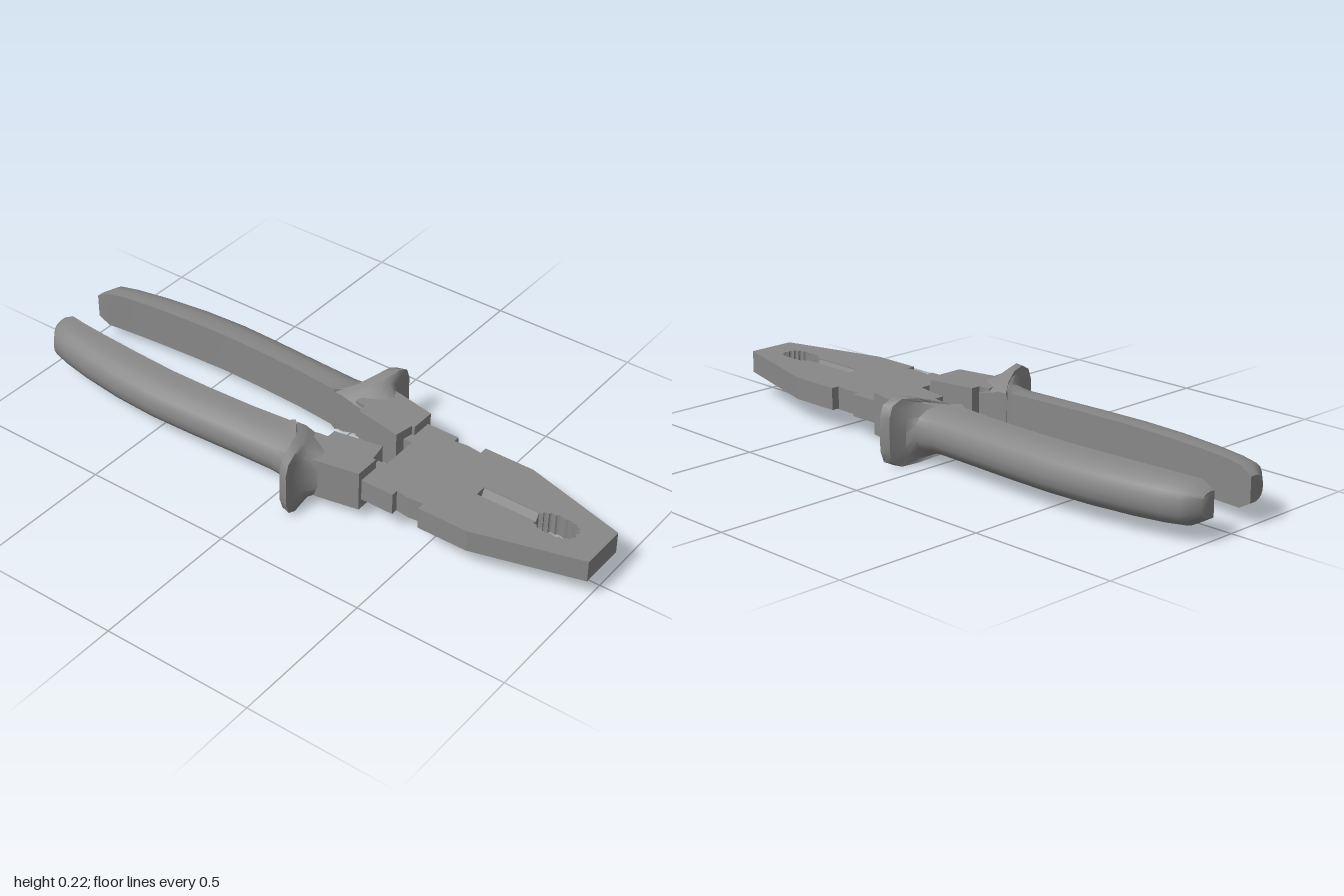
import * as THREE from 'three';
import { toCreasedNormals } from 'three/addons/utils/BufferGeometryUtils.js';

const material = new THREE.MeshStandardMaterial({ color: 0x888888 });
const MID = 0.11; // height of the centre plane

function add(group, name, geometry) {
  const mesh = new THREE.Mesh(geometry, material);
  mesh.name = name;
  group.add(mesh);
}

// Extrude a plan outline of [x, z] points between two heights
function slab(points, y0, y1, hole) {
  const toV = (p) => new THREE.Vector2(p[0], p[1]);
  const shape = new THREE.Shape(points.map(toV));
  if (hole) shape.holes.push(new THREE.Path(hole.map(toV)));
  const geo = new THREE.ExtrudeGeometry(shape, { depth: y1 - y0, bevelEnabled: false });
  return geo.rotateX(Math.PI / 2).translate(0, y1, 0);
}

// Half cross-sections [across, height]: flat inner side to rounded outer side
const GRIP = [[0, 1], [0.25, 1], [0.48, 0.97], [0.7, 0.86], [0.88, 0.63], [0.97, 0.34], [1, 0]];
const GUARD = [[0, 0.64], [0.27, 0.8], [0.54, 0.96], [0.78, 1], [0.94, 0.84], [1, 0.5], [1, 0]];

// x, inner z, outer z, half height, backward lean of inner side, section
const SECTIONS = [
  [-1.0, 0.08, 0.135, 0.04, 0, GRIP],
  [-0.96, 0.083, 0.182, 0.063, 0, GRIP],
  [-0.9, 0.095, 0.198, 0.067, 0, GRIP],
  [-0.8, 0.106, 0.218, 0.069, 0, GRIP],
  [-0.65, 0.117, 0.238, 0.07, 0, GRIP],
  [-0.5, 0.124, 0.246, 0.07, 0, GRIP],
  [-0.35, 0.122, 0.242, 0.07, 0, GRIP],
  [-0.18, 0.115, 0.234, 0.07, 0, GRIP],
  [-0.03, 0.103, 0.23, 0.07, 0.02, GRIP],
  [0.03, 0.098, 0.234, 0.078, 0.06, GRIP],
  [0.055, 0.096, 0.25, 0.09, 0.085, GUARD],
  [0.068, 0.095, 0.305, 0.107, 0.095, GUARD],
  [0.1, 0.093, 0.315, 0.108, 0.095, GUARD],
  [0.1, 0.093, 0.285, 0.1, 0.08, GUARD],
  [0.103, 0.093, 0.245, 0.086, 0.05, GUARD],
  [0.135, 0.093, 0.213, 0.069, 0.02, GUARD],
  [0.16, 0.093, 0.2, 0.06, 0, GUARD],
];

// Loft the handle sections; side is +1 or -1 along z
function handle(side) {
  const pos = [], index = [];
  const n = GRIP.length * 2 - 1;
  const tri = (a, b, c) => (side > 0 ? index.push(a, b, c) : index.push(a, c, b));
  for (const [x, z0, z1, h, lean, half] of SECTIONS) {
    const ring = [...half, ...half.slice(0, -1).reverse().map(([t, y]) => [t, -y])];
    for (const [t, y] of ring) {
      pos.push(x - lean * (1 - t) ** 2, MID + y * h, side * (z0 + (z1 - z0) * t));
    }
  }
  const last = (SECTIONS.length - 1) * n;
  for (let i = 0; i < last; i += n) {
    for (let j = 0; j < n; j++) {
      const k = (j + 1) % n;
      tri(i + j, i + k, i + n + k);
      tri(i + j, i + n + k, i + n + j);
    }
  }
  for (let j = 1; j < n - 1; j++) {
    tri(0, j + 1, j);
    tri(last, last + j, last + j + 1);
  }
  const geo = new THREE.BufferGeometry();
  geo.setAttribute('position', new THREE.Float32BufferAttribute(pos, 3));
  geo.setIndex(index);
  return toCreasedNormals(geo, 0.75);
}

// Squared sleeve between the guard and the head
const COLLAR = [
  [0.05, 0.1], [0.09, 0.095], [0.09, 0.063], [0.25, 0.035], [0.262, 0.1],
  [0.272, 0.1], [0.272, 0.185], [0.13, 0.213], [0.08, 0.215],
];

// One side of the head, from the pivot end to the nose
const HEAD = [
  [0.286, 0.066], [0.25, 0.066], [0.25, 0.172], [0.385, 0.172], [0.385, 0.15],
  [0.43, 0.156], [0.48, 0.15], [0.48, 0.177], [0.65, 0.177], [1, 0.08],
];

// Cutter slot running into a scalloped oval opening
function jawOpening() {
  const points = [[0.77, 0.02], [0.58, 0.02], [0.58, -0.02], [0.77, -0.02]];
  const steps = 56;
  const soften = (v) => Math.sign(v) * Math.abs(v) ** 0.8;
  for (let i = 0; i <= steps; i++) {
    const a = -2.68 + (5.36 * i) / steps;
    const r = 0.87 + 0.13 * Math.abs(Math.sin((i * Math.PI) / 4));
    points.push([0.843 + 0.073 * r * soften(Math.cos(a)), 0.045 * r * soften(Math.sin(a))]);
  }
  return points;
}

export function createModel() {
  const group = new THREE.Group();
  group.name = 'pliers';

  const y0 = 0.073, y1 = 0.146;
  const mirrored = HEAD.map(([x, z]) => [x, -z]).reverse();
  add(group, 'head', slab([...HEAD, ...mirrored], y0, y1, jawOpening()));

  // Cutting edges: bevelled wedges meeting in the middle of the slot
  for (const side of [1, -1]) {
    const wedge = new THREE.Shape([
      new THREE.Vector2(side * 0.021, y0 + 0.001),
      new THREE.Vector2(side * 0.021, y1 - 0.001),
      new THREE.Vector2(0, MID),
    ]);
    const geo = new THREE.ExtrudeGeometry(wedge, { depth: 0.19, bevelEnabled: false });
    geo.rotateY(Math.PI / 2).translate(0.58, 0, 0);
    add(group, side > 0 ? 'backCutter' : 'frontCutter', geo);
  }

  for (const side of [1, -1]) {
    const prefix = side > 0 ? 'front' : 'back';
    add(group, prefix + 'Handle', handle(side));
    add(group, prefix + 'Collar', slab(COLLAR.map(([x, z]) => [x, side * z]), 0.042, 0.178));
  }
  return group;
}
